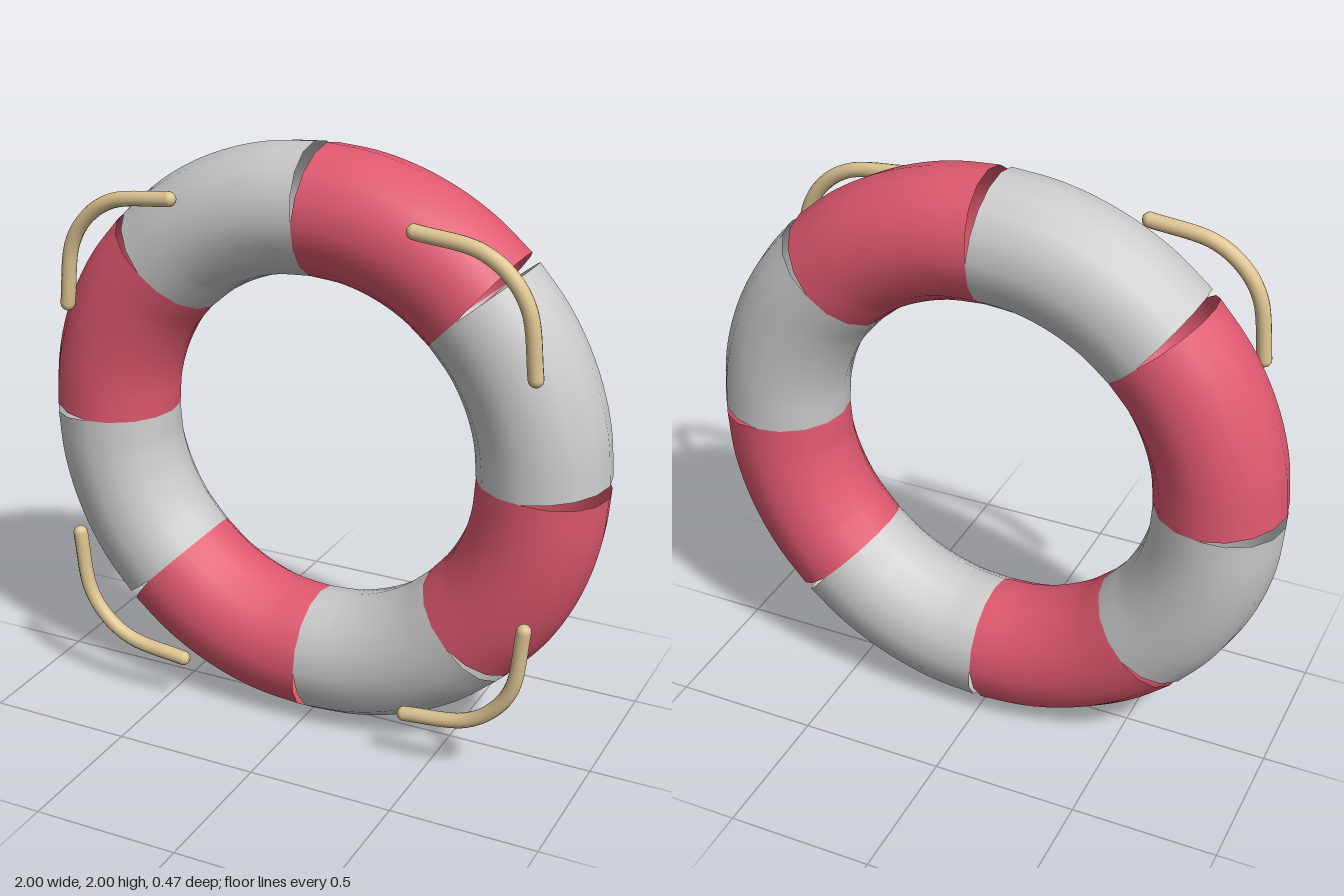
import * as THREE from 'three';

const SEGMENTS = 8;
const RING_RADIUS = 0.785;
const TUBE_RADIUS = 0.215;
const BAR_RADIUS = 0.025;

// One open-ended eighth of the ring, its ends slightly tilted to leave wedge gaps
function ringSegment(index, material) {
  const points = [];
  for (let i = 0; i <= 4; i++) {
    const a = ((index + i / 4) / SEGMENTS) * Math.PI * 2;
    points.push(new THREE.Vector3(Math.cos(a) * RING_RADIUS, Math.sin(a) * RING_RADIUS, 0));
  }
  const curve = new THREE.CatmullRomCurve3(points);
  const mesh = new THREE.Mesh(new THREE.TubeGeometry(curve, 24, TUBE_RADIUS, 16), material);
  mesh.name = 'ringSegment' + (index + 1);
  return mesh;
}

// Bent grab rope with rounded ends, mirrored by the signs sx and sy
function grabRope(sx, sy, material) {
  const rope = new THREE.Group();
  const points = [[0.42, 0.82], [0.63, 0.79], [0.727, 0.727], [0.79, 0.63], [0.82, 0.42]]
    .map(([x, y]) => new THREE.Vector3(x * sx, y * sy, 0));
  const curve = new THREE.CatmullRomCurve3(points);
  const bar = new THREE.Mesh(new THREE.TubeGeometry(curve, 32, BAR_RADIUS, 12), material);
  bar.name = 'ropeBar';
  rope.add(bar);
  for (const p of [points[0], points[4]]) {
    const end = new THREE.Mesh(new THREE.SphereGeometry(BAR_RADIUS, 12, 8), material);
    end.name = 'ropeEnd';
    end.position.copy(p);
    rope.add(end);
  }
  rope.name = (sy > 0 ? 'upper' : 'lower') + (sx > 0 ? 'Left' : 'Right') + 'Rope';
  return rope;
}

export function createModel() {
  const model = new THREE.Group();
  model.name = 'lifebuoy';
  const grey = new THREE.MeshStandardMaterial({ color: 0xcccccc, side: THREE.DoubleSide });
  const red = new THREE.MeshStandardMaterial({ color: 0xe0596f, side: THREE.DoubleSide });
  const tan = new THREE.MeshStandardMaterial({ color: 0xdcc391 });

  // Ring of alternating colours
  const ring = new THREE.Group();
  ring.name = 'ring';
  ring.position.set(0, 1, -0.02);
  for (let i = 0; i < SEGMENTS; i++) ring.add(ringSegment(i, i % 2 ? red : grey));
  model.add(ring);

  // Four grab ropes across the front corners
  const ropes = new THREE.Group();
  ropes.name = 'ropes';
  ropes.position.set(0, 1, 0.21);
  for (const sx of [1, -1]) for (const sy of [1, -1]) ropes.add(grabRope(sx, sy, tan));
  model.add(ropes);

  return model;
}
